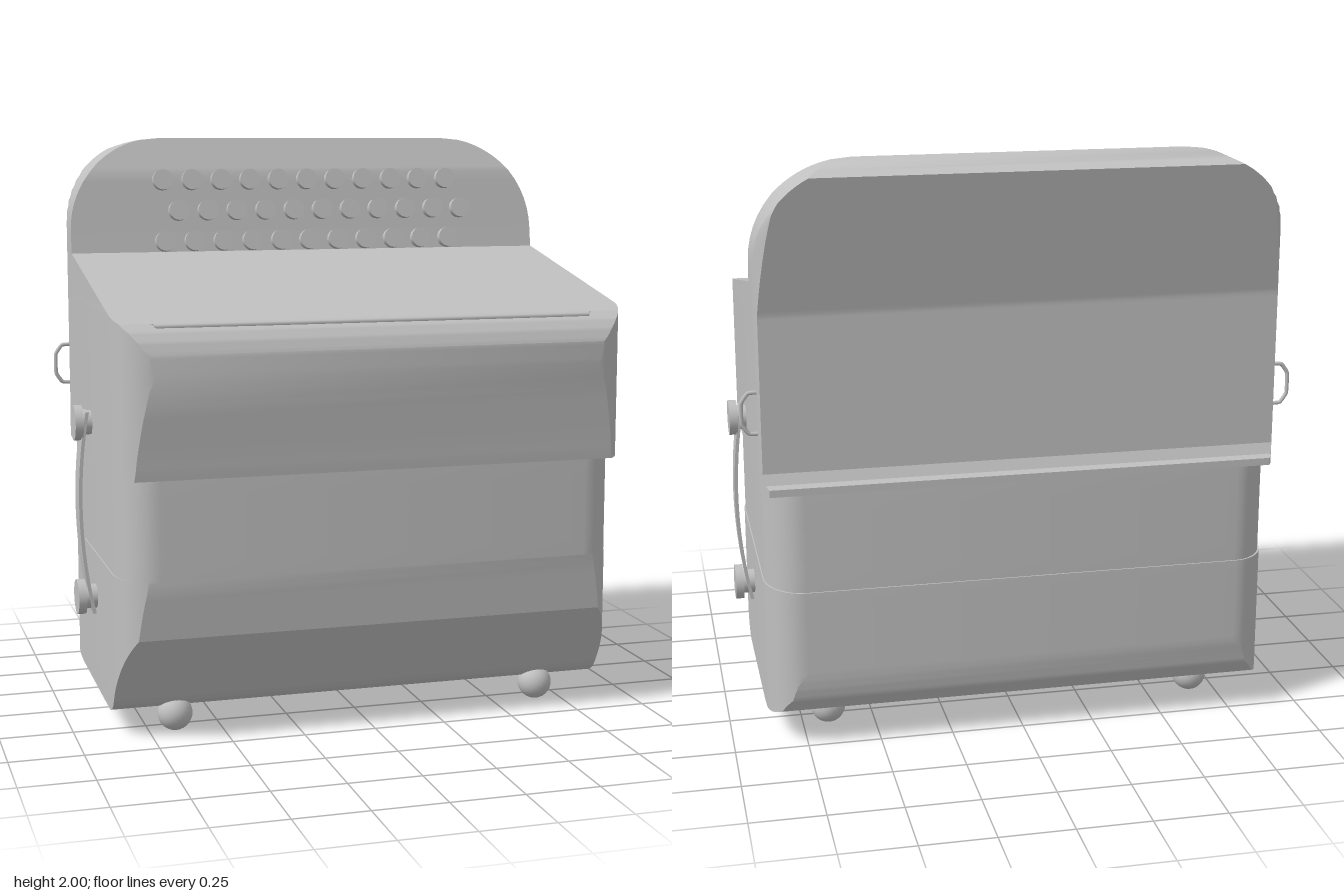
import * as THREE from 'three';
import { toCreasedNormals } from 'three/addons/utils/BufferGeometryUtils.js';

const clamp = THREE.MathUtils.clamp, lerp = THREE.MathUtils.lerp;

// Stacks level sections. rows: [y, front z, back z]; plan: rounded footprint;
// topWidth(y) optionally limits the half width.
function shell(rows, plan, topWidth = () => Infinity) {
  const { w, rx, front, back, rz } = plan;
  const zs = [];
  for (let i = 0; i <= 10; i++) zs.push(front - rz + rz * Math.cos(i / 10 * Math.PI / 2));
  for (let i = 0; i <= 10; i++) zs.push(back + rz - rz * Math.sin(i / 10 * Math.PI / 2));
  const halfWidth = (z, y) => {
    const over = clamp(Math.max(z - front + rz, back + rz - z, 0) / rz, 0, 1);
    return Math.min(w - rx + rx * Math.sqrt(1 - over * over), topWidth(y));
  };
  const levels = [];
  rows.forEach((r, i) => {
    if (!i) return levels.push(r);
    for (let k = 1; k <= 6; k++) levels.push(r.map((v, j) => lerp(rows[i - 1][j], v, k / 6)));
  });
  const rings = levels.map(([y, zf, zb]) => {
    const right = zs.map(z => clamp(z, zb, zf)).map(z => new THREE.Vector3(halfWidth(z, y), y, z));
    const left = right.map(p => new THREE.Vector3(-p.x, p.y, p.z)).reverse();
    return [...right, ...left];
  });
  const pos = [], tri = new THREE.Triangle();
  const face = (a, b, c) => {
    if (tri.set(a, b, c).getArea() > 1e-9) for (const p of [a, b, c]) pos.push(p.x, p.y, p.z);
  };
  const quad = (a, b, c, d) => { face(a, b, c); face(a, c, d); };
  const n = rings[0].length;
  for (let k = 0; k + 1 < rings.length; k++)
    for (let i = 0; i < n; i++) {
      const j = (i + 1) % n;
      quad(rings[k][i], rings[k][j], rings[k + 1][j], rings[k + 1][i]);
    }
  const lo = rings[0], hi = rings[rings.length - 1];
  for (let i = 0; i + 1 < n / 2; i++) {
    quad(hi[i], hi[i + 1], hi[n - 2 - i], hi[n - 1 - i]);
    quad(lo[n - 1 - i], lo[n - 2 - i], lo[i + 1], lo[i]);
  }
  const geo = new THREE.BufferGeometry();
  geo.setAttribute('position', new THREE.Float32BufferAttribute(pos, 3));
  return toCreasedNormals(geo, 0.4);
}

const V = (x, y, z) => new THREE.Vector3(x, y, z);

function tube(points, radius, tension = 0.2) {
  const curve = new THREE.CatmullRomCurve3(points, false, 'catmullrom', tension);
  return new THREE.TubeGeometry(curve, 40, radius, 8);
}

export function createModel() {
  const model = new THREE.Group();
  model.name = 'accordion';
  const grey = new THREE.MeshStandardMaterial({ color: 0xc0c0c0 });
  grey.name = 'light grey';
  const add = (name, geo, x = 0, y = 0, z = 0, parent = model) => {
    const mesh = new THREE.Mesh(geo, grey);
    mesh.name = name;
    mesh.position.set(x, y, z);
    parent.add(mesh);
    return mesh;
  };

  // Upper case with the upright button board
  const boardWidth = y => 0.55 + 0.335 * Math.sqrt(Math.max(0, 1 - Math.max(0, (y - 1.665) / 0.335) ** 2));
  add('upperCase', shell([
    [0.91, 0.56, -0.53], [0.935, 0.563, -0.53], [0.945, 0.564, -0.512], [0.98, 0.567, -0.495],
    [1.25, 0.595, -0.495], [1.32, 0.59, -0.495], [1.36, 0.573, -0.495], [1.39, 0.55, -0.495],
    [1.415, 0.515, -0.495], [1.435, 0.45, -0.495], [1.51, 0.07, -0.495], [1.59, -0.335, -0.512],
    [1.665, -0.347, -0.528], [1.88, -0.38, -0.573], [1.96, -0.413, -0.59], [2, -0.43, -0.43],
  ], { w: 0.885, rx: 0.145, front: 0.597, back: -0.597, rz: 0.165 }, boardWidth));

  // Closed bellows section
  add('bellows', shell([[0.57, 0.54, -0.53], [0.91, 0.54, -0.53]],
    { w: 0.873, rx: 0.13, front: 0.54, back: -0.53, rz: 0.165 }));

  // Lower case
  add('lowerCase', shell([
    [0.08, 0.29, 0.2], [0.09, 0.32, -0.3], [0.11, 0.345, -0.44], [0.13, 0.36, -0.49],
    [0.18, 0.391, -0.52], [0.27, 0.448, -0.535], [0.37, 0.51, -0.535], [0.57, 0.53, -0.535],
  ], { w: 0.877, rx: 0.13, front: 0.535, back: -0.535, rz: 0.165 }));

  // Three staggered rows of buttons
  const buttons = new THREE.Group();
  buttons.name = 'buttons';
  model.add(buttons);
  const head = new THREE.CylinderGeometry(0.037, 0.037, 0.028, 20);
  const stem = new THREE.CylinderGeometry(0.024, 0.024, 0.05, 12);
  [[1.63, -0.318, -0.545], [1.74, -0.342, -0.49], [1.85, -0.363, -0.545]].forEach(([y, z, x0]) => {
    for (let i = 0; i < 11; i++) {
      const button = new THREE.Group();
      button.name = 'button';
      button.position.set(x0 + i * 0.1085, y, z);
      button.rotation.x = Math.PI / 2 - 0.18;
      add('buttonHead', head, 0, 0, 0, button);
      add('buttonStem', stem, 0, -0.03, 0, button);
      buttons.add(button);
    }
  });

  // Thin rail along the front of the sloped top
  add('frontRail', tube([V(-0.755, 1.405, 0.485), V(-0.75, 1.405, 0.51), V(-0.725, 1.405, 0.527),
    V(0.725, 1.405, 0.527), V(0.75, 1.405, 0.51), V(0.755, 1.405, 0.485)], 0.009));
  for (let i = -2; i <= 2; i++)
    add('railPost', new THREE.BoxGeometry(0.012, 0.014, 0.04), i * 0.25, 1.405, 0.507);

  // Side straps, strap knobs and carrying loops
  for (const s of [1, -1]) {
    const strap = new THREE.BoxGeometry(0.012, 0.71, 0.084, 1, 16, 1);
    const p = strap.attributes.position;
    for (let i = 0; i < p.count; i++) {
      const t = p.getY(i) / 0.355;
      p.setX(i, p.getX(i) + s * (0.895 + 0.007 * t + 0.035 * (1 - t * t)));
    }
    strap.computeVertexNormals();
    add('sideStrap', strap, 0, 0.715, 0.022);
    for (const y of [1.03, 0.415]) {
      const knob = add('strapKnob', new THREE.CylinderGeometry(0.061, 0.061, 0.028, 32), s * 0.931, y, 0.022);
      const pin = add('knobPin', new THREE.CylinderGeometry(0.042, 0.042, 0.06, 24), s * 0.895, y, 0.022);
      knob.rotation.z = pin.rotation.z = Math.PI / 2;
    }
    add('carryLoop', tube([V(s * 0.87, 1.25, -0.46), V(s * 0.91, 1.248, -0.46), V(s * 0.933, 1.215, -0.46),
      V(s * 0.933, 1.145, -0.46), V(s * 0.91, 1.112, -0.46), V(s * 0.87, 1.11, -0.46)], 0.007));

    // Ball feet
    for (const z of [0.315, -0.315])
      add('foot', new THREE.SphereGeometry(0.06, 24, 16), s * 0.66, 0.06, z);
  }

  // Tilted plate under the lower case
  const plate = add('basePlate', new THREE.BoxGeometry(1.51, 0.06, 0.272), 0, 0.07, -0.032);
  plate.rotation.x = 0.11;
  return model;
}
